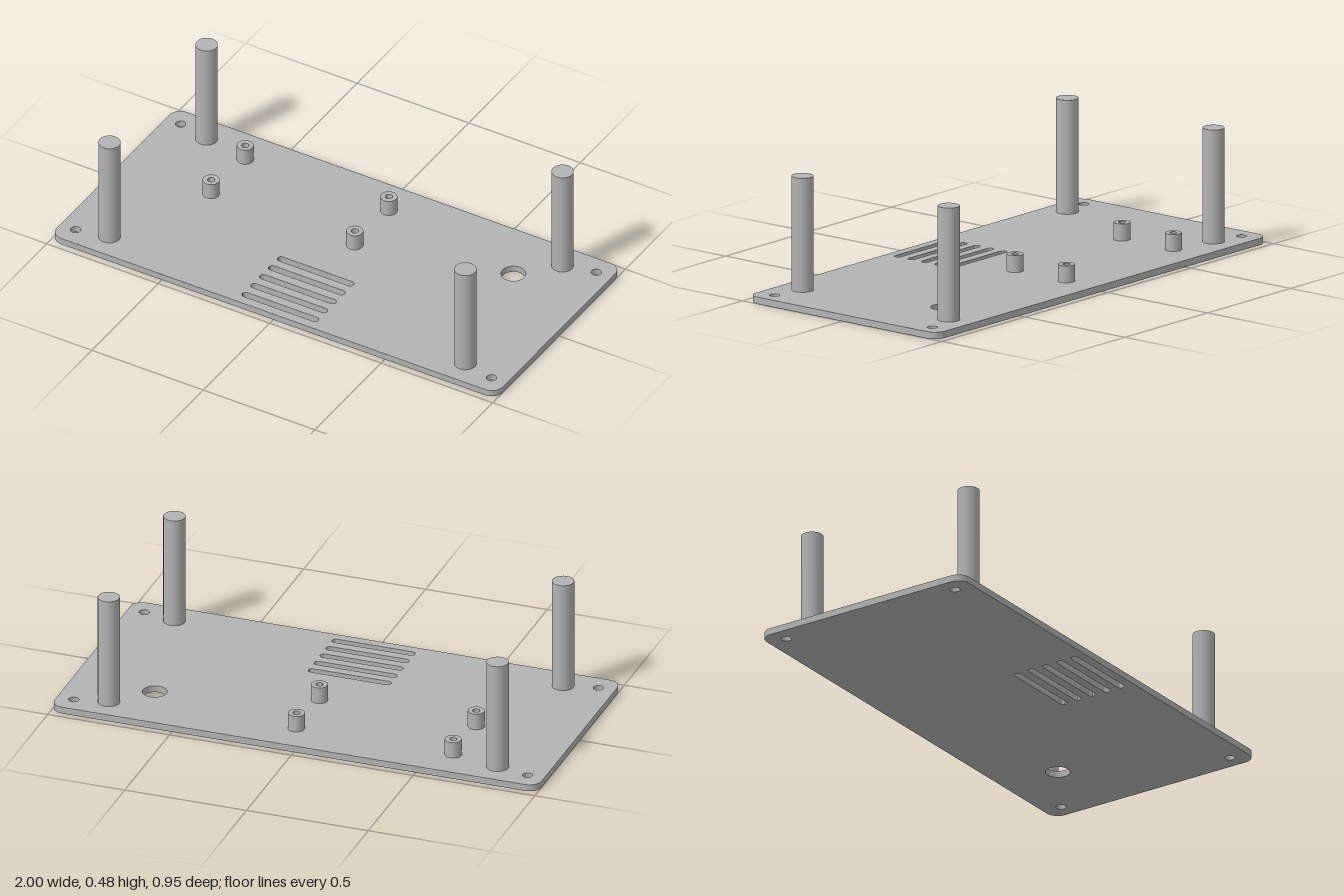
import * as THREE from 'three';
import { toCreasedNormals } from 'three/addons/utils/BufferGeometryUtils.js';

const W = 1, D = 0.473, T = 0.027, CORNER = 0.05;

// Rounded rectangle centred on (x, y), half sizes w and d
function roundedRect(path, x, y, w, d, r) {
  path.absarc(x + w - r, y + d - r, r, 0, Math.PI / 2);
  path.absarc(x - w + r, y + d - r, r, Math.PI / 2, Math.PI);
  path.absarc(x - w + r, y - d + r, r, Math.PI, Math.PI * 1.5);
  path.absarc(x + w - r, y - d + r, r, Math.PI * 1.5, Math.PI * 2);
  path.closePath();
  return path;
}

function roundHole(x, z, r) {
  return new THREE.Path().absarc(x, -z, r, 0, Math.PI * 2, true);
}

export function createModel() {
  const group = new THREE.Group();
  const grey = new THREE.MeshStandardMaterial({ color: 0xb3b3b3 });
  grey.name = 'grey';

  function add(name, geometry, x = 0, y = 0, z = 0) {
    const mesh = new THREE.Mesh(geometry, grey);
    mesh.name = name;
    mesh.position.set(x, y, z);
    group.add(mesh);
  }

  // Base plate with screw holes, cable hole and vent slots
  const plate = roundedRect(new THREE.Shape(), 0, 0, W, D, CORNER);
  for (const x of [-0.932, 0.932])
    for (const z of [-0.395, 0.395]) plate.holes.push(roundHole(x, z, 0.02));
  plate.holes.push(roundHole(0.662, -0.224, 0.048));
  for (let i = 0; i < 5; i++) {
    const z = 0.153 + i * 0.0667;
    plate.holes.push(roundedRect(new THREE.Path(), 0, -z, 0.17, 0.0145, 0.0144));
  }
  const plateGeometry = new THREE.ExtrudeGeometry(plate, { depth: T, bevelEnabled: false, curveSegments: 16 });
  plateGeometry.rotateX(-Math.PI / 2);
  add('basePlate', toCreasedNormals(plateGeometry, 0.6));

  // Tall corner posts
  const postHeight = 0.48 - T;
  const post = new THREE.CylinderGeometry(0.043, 0.043, postHeight, 40);
  for (const x of [-0.798, 0.798])
    for (const z of [-0.366, 0.366]) add('cornerPost', post, x, T + postHeight / 2, z);

  // Short standoffs with blind screw holes
  const profile = [[0.033, 0], [0.033, 0.067], [0.014, 0.067], [0.014, 0.001], [0, 0.001]]
    .map(([r, y]) => new THREE.Vector2(r, y));
  const standoff = toCreasedNormals(new THREE.LatheGeometry(profile, 32), 0.6);
  for (const x of [-0.602, 0.042])
    for (const z of [-0.328, -0.071]) add('standoff', standoff, x, T, z);

  return group;
}
